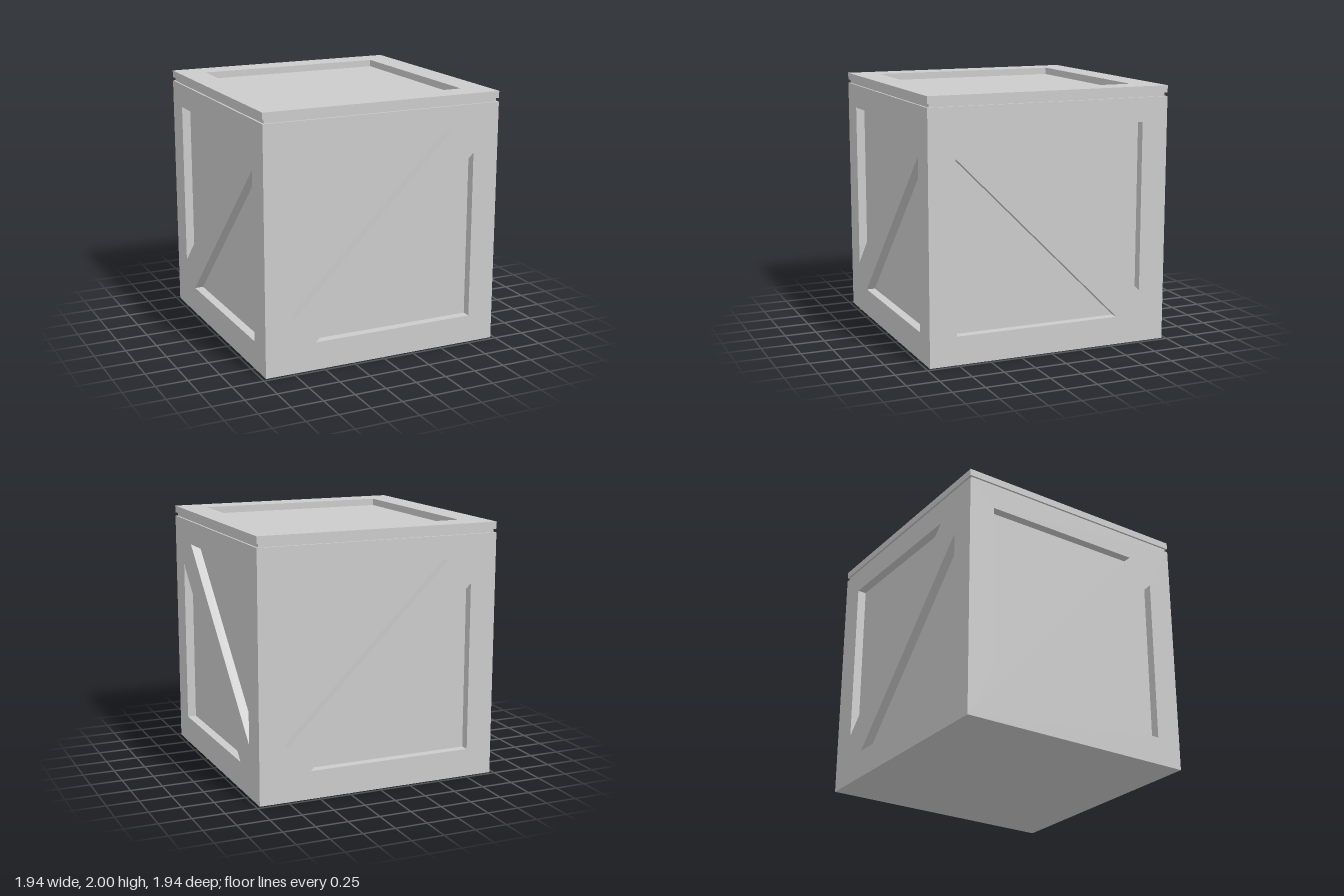
import * as THREE from 'three';

const HALF = 0.972;    // half width of the crate
const BODY_H = 1.917;  // top of the body
const LID_Y = 1.945;   // underside of the lid
const TOP = 2;
const DEPTH = 0.07;    // depth of the side recesses

const material = new THREE.MeshStandardMaterial({ color: 0xcccccc, flatShading: true });

function polygon(points, Type = THREE.Shape) {
  return new Type(points.map(([x, y]) => new THREE.Vector2(x, y)));
}

function rectangle(x, y0, y1, Type) {
  return polygon([[-x, y0], [x, y0], [x, y1], [-x, y1]], Type);
}

function addPart(parent, name, geometry) {
  const mesh = new THREE.Mesh(geometry, material);
  mesh.name = name;
  parent.add(mesh);
  return mesh;
}

function addBox(parent, name, half, y0, y1) {
  const box = addPart(parent, name, new THREE.BoxGeometry(2 * half, y1 - y0, 2 * half));
  box.position.y = (y0 + y1) / 2;
}

// Side frame with a diagonal brace between two triangular openings,
// its upright ends mitred so that four frames meet at the corners
function sideFrame(mirror) {
  const shape = rectangle(HALF, 0, BODY_H);
  const openings = [
    [[-0.76, 1.73], [-0.76, 0.41], [0.56, 1.73]],
    [[0.76, 0.22], [0.76, 1.54], [-0.565, 0.22]],
  ];
  for (const points of openings) {
    shape.holes.push(polygon(points.map(([x, y]) => [x * mirror, y]), THREE.Path));
  }
  const geometry = new THREE.ExtrudeGeometry(shape, { depth: DEPTH, bevelEnabled: false });
  const pos = geometry.attributes.position;
  for (let i = 0; i < pos.count; i++) {
    const x = pos.getX(i);
    if (pos.getZ(i) < DEPTH / 2 && Math.abs(x) > HALF - 0.01) {
      pos.setX(i, Math.sign(x) * (HALF - DEPTH));
    }
  }
  geometry.computeVertexNormals();
  return geometry.translate(0, 0, HALF - DEPTH);
}

export function createModel() {
  const crate = new THREE.Group();
  crate.name = 'crate';

  // Body: inner box forming the recessed panels, wrapped by four braced frames
  addBox(crate, 'innerBox', HALF - DEPTH, 0, BODY_H);
  const sides = [['frontFrame', 1], ['rightFrame', -1], ['backFrame', 1], ['leftFrame', 1]];
  sides[1][0] = 'leftFrame';
  sides[3][0] = 'rightFrame';
  sides.forEach(([name, mirror], i) => {
    addPart(crate, name, sideFrame(mirror)).rotation.y = i * Math.PI / 2;
  });

  // Lid: narrow neck leaving a groove, then a rim around a sunken panel
  const lid = new THREE.Group();
  lid.name = 'lid';
  addBox(lid, 'lidNeck', HALF - 0.016, BODY_H, LID_Y);
  const rim = rectangle(HALF, -HALF, HALF);
  rim.holes.push(rectangle(0.76, -0.76, 0.76, THREE.Path));
  const rimGeometry = new THREE.ExtrudeGeometry(rim, { depth: TOP - LID_Y, bevelEnabled: false });
  rimGeometry.rotateX(-Math.PI / 2).translate(0, LID_Y, 0);
  addPart(lid, 'lidRim', rimGeometry);
  crate.add(lid);

  return crate;
}
